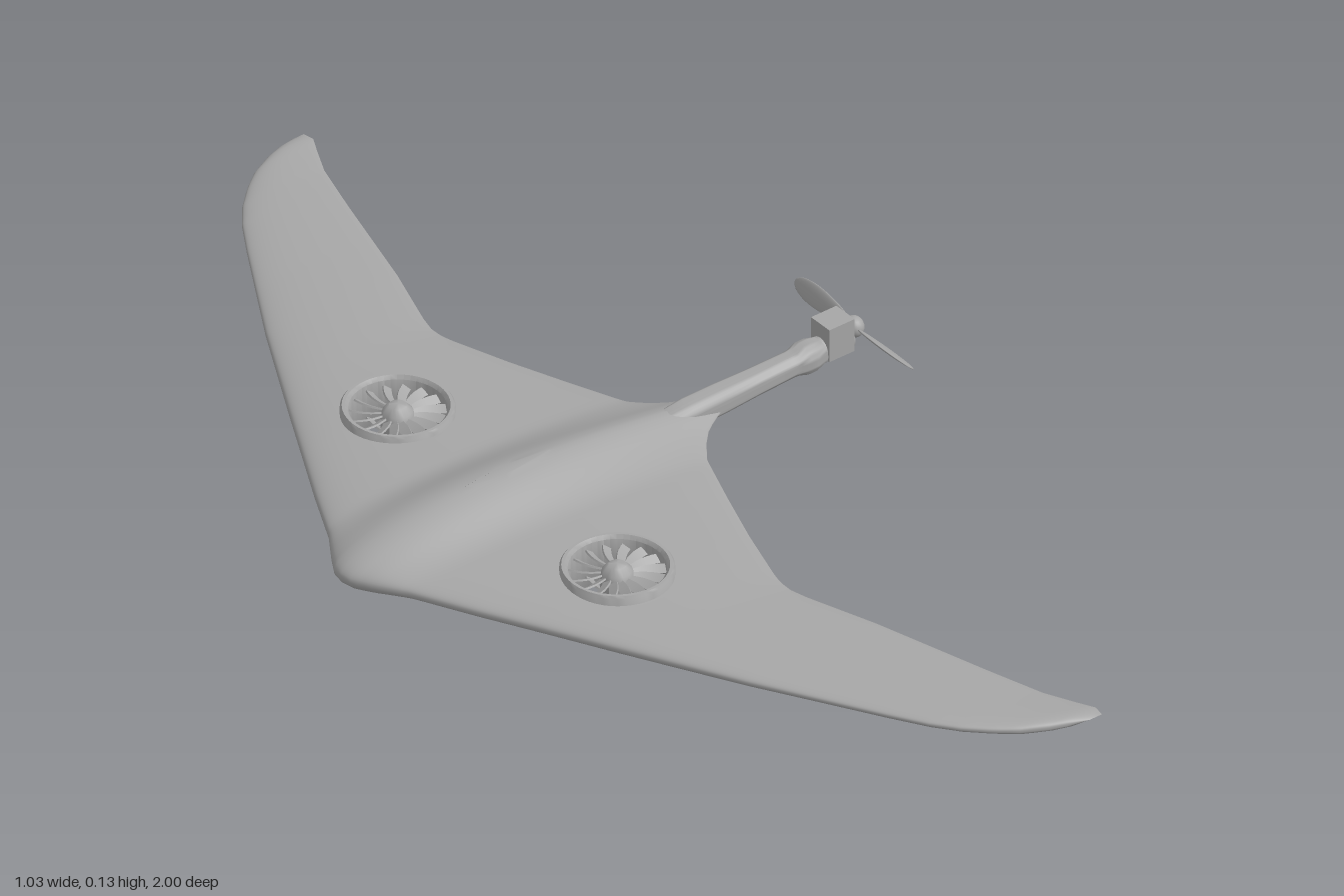
import * as THREE from 'three';
import { toCreasedNormals } from 'three/addons/utils/BufferGeometryUtils.js';

const grey = new THREE.MeshStandardMaterial({ color: 0xa6a6a6 });
grey.name = 'body grey';

const FAN = { x: -0.185, z: 0.275, r: 0.084 };

// Linear lookup in a list of [position, value] pairs
function lookup(table, p) {
  for (let i = 1; i < table.length; i++) {
    const [a, va] = table[i - 1], [b, vb] = table[i];
    if (p <= b) return va + (vb - va) * (p - a) / (b - a);
  }
  return table[table.length - 1][1];
}

// Wing planform and thickness against distance from the centre line
const leading = [[0, -0.515], [0.02, -0.511], [0.05, -0.493], [0.1, -0.459], [0.2, -0.408], [0.4, -0.3],
  [0.6, -0.19], [0.8, -0.07], [0.86, -0.032], [0.9, 0], [0.935, 0.037], [0.96, 0.07], [0.985, 0.12], [1, 0.175]];
const trailing = [[0, 0.25], [0.02, 0.225], [0.035, 0.195], [0.05, 0.172], [0.07, 0.152], [0.1, 0.13], [0.2, 0.092], [0.3, 0.056],
  [0.4, 0.025], [0.425, 0.019], [0.45, 0.019], [0.48, 0.027], [0.6, 0.07], [0.8, 0.13], [0.9, 0.162], [0.95, 0.187], [0.98, 0.203], [1, 0.2]];
const middle = [[0, 0.064], [0.3, 0.06], [0.7, 0.052], [1, 0.046]];
const upper = [[0, 0.031], [0.3, 0.024], [0.7, 0.014], [1, 0.009]];
const lower = [[0, 0.031], [0.3, 0.024], [0.7, 0.015], [1, 0.01]];

// Blended wing body: closed airfoil loops along z, with two fan openings
function wingGeometry() {
  const N = 120, M = 200, pos = [], inside = [], index = [];
  for (let j = 0; j <= M; j++) {
    const z = -1 + 2 * j / M, d = Math.abs(z);
    const x0 = lookup(leading, d), x1 = lookup(trailing, d);
    const tip = d > 0.96 ? Math.sqrt(Math.max(0, 1 - ((d - 0.96) / 0.04) ** 2)) : 1;
    const bump = d < 0.12 ? Math.cos(d / 0.12 * Math.PI / 2) ** 2 : 0;
    for (let i = 0; i < N; i++) {
      const a = 2 * Math.PI * i / N, t = (1 - Math.cos(a)) / 2, top = i <= N / 2;
      const foil = Math.pow(Math.max(0, Math.sin(Math.PI * Math.pow(t, 0.65))), 0.6);
      const belly = Math.sin(Math.PI * Math.pow(t, 0.7));
      const h = top ? lookup(upper, d) * foil * tip + 0.03 * bump * belly
        : -lookup(lower, d) * foil * tip - 0.029 * bump * belly;
      let x = x0 + (x1 - x0) * t, zz = z;
      // Slide points inside a fan opening out to its rim
      const dx = x - FAN.x, dz = z - Math.sign(z) * FAN.z, r = Math.hypot(dx, dz);
      inside.push(r < FAN.r);
      if (r < FAN.r && r > 1e-6) {
        x = FAN.x + dx * FAN.r / r;
        zz = Math.sign(z) * FAN.z + dz * FAN.r / r;
      }
      pos.push(x, lookup(middle, d) + 0.012 * bump * t + h, zz);
    }
  }
  for (let j = 0; j < M; j++) for (let i = 0; i < N; i++) {
    const k = (i + 1) % N, a = j * N + i, b = j * N + k, c = a + N, e = b + N;
    if (inside[a] && inside[b] && inside[c] && inside[e]) continue;
    index.push(a, c, b, b, c, e);
  }
  const g = new THREE.BufferGeometry();
  g.setAttribute('position', new THREE.Float32BufferAttribute(pos, 3));
  g.setIndex(index);
  g.computeVertexNormals();
  return g;
}

function add(parent, name, geometry, x = 0, y = 0, z = 0) {
  const m = new THREE.Mesh(geometry, grey);
  m.name = name;
  m.position.set(x, y, z);
  parent.add(m);
  return m;
}

function lathe(points, segments = 48) {
  return toCreasedNormals(new THREE.LatheGeometry(points.map(p => new THREE.Vector2(...p)), segments), 0.7);
}

// Curved, pitched fan blade reaching out along x
function fanBladeGeometry() {
  const g = new THREE.BoxGeometry(0.058, 0.003, 0.016, 6, 1, 1);
  g.rotateX(0.6);
  g.translate(0.051, 0, 0);
  const p = g.attributes.position;
  for (let i = 0; i < p.count; i++) p.setZ(i, p.getZ(i) + 6 * (p.getX(i) - 0.05) ** 2);
  g.computeVertexNormals();
  return g;
}

// Ducted lift fan with an upper and a lower blade row
function liftFan(name, side) {
  const fan = new THREE.Group();
  fan.name = name;
  fan.position.set(FAN.x, 0, side * FAN.z);
  add(fan, 'fanDuct', lathe([[0.077, 0.014], [0.08, 0.01], [0.086, 0.01], [0.09, 0.014], [0.09, 0.094],
    [0.087, 0.098], [0.082, 0.098], [0.077, 0.092], [0.077, 0.014]]));
  add(fan, 'fanHub', lathe([[0, 0.012], [0.014, 0.015], [0.024, 0.024], [0.027, 0.034], [0.027, 0.076],
    [0.024, 0.088], [0.014, 0.098], [0, 0.101]], 24));
  const blade = fanBladeGeometry();
  for (const y of [0.078, 0.028]) for (let i = 0; i < 16; i++) {
    add(fan, 'fanBlade', blade, 0, y, 0).rotation.y = i * Math.PI / 8;
  }
  return fan;
}

// Leaf-shaped propeller blade reaching out along z
function propBladeGeometry() {
  const g = new THREE.SphereGeometry(1, 20, 14);
  const p = g.attributes.position;
  for (let i = 0; i < p.count; i++) {
    const z = p.getZ(i);
    p.setXYZ(i, p.getX(i) * 0.0035, p.getY(i) * 0.023 * (0.8 + 0.25 * z), 0.078 + z * 0.07);
  }
  g.computeVertexNormals();
  return g;
}

export function createModel() {
  const model = new THREE.Group();
  model.name = 'flyingWing';
  add(model, 'wingBody', wingGeometry());
  model.add(liftFan('leftFan', 1), liftFan('rightFan', -1));

  // Tail boom with a collar at its end
  const boom = lathe([[0, 0], [0.022, 0.03], [0.026, 0.09], [0.025, 0.15], [0.0225, 0.22], [0.0215, 0.29], [0.0225, 0.3],
    [0.027, 0.315], [0.027, 0.33], [0.022, 0.35], [0, 0.35]], 32);
  boom.rotateZ(-Math.PI / 2 + 0.035);
  add(model, 'tailBoom', boom, 0.08, 0.075, 0);

  // Motor and its mount
  const motor = new THREE.CylinderGeometry(0.02, 0.02, 0.07, 24).rotateZ(-Math.PI / 2);
  add(model, 'motor', motor, 0.45, 0.09, 0);
  add(model, 'motorMount', new THREE.BoxGeometry(0.05, 0.06, 0.046), 0.456, 0.106, 0);

  // Two-bladed pusher propeller
  const prop = new THREE.Group();
  prop.name = 'propeller';
  prop.position.set(0.497, 0.103, 0);
  const hub = new THREE.SphereGeometry(0.018, 20, 14).scale(0.9, 1, 1);
  add(prop, 'propHub', hub);
  const blade = propBladeGeometry();
  add(prop, 'leftPropBlade', blade).rotation.z = 0.85;
  const right = add(prop, 'rightPropBlade', blade, 0, 0.004, 0);
  right.rotation.set(0, Math.PI, 0.3);
  model.add(prop);
  return model;
}
